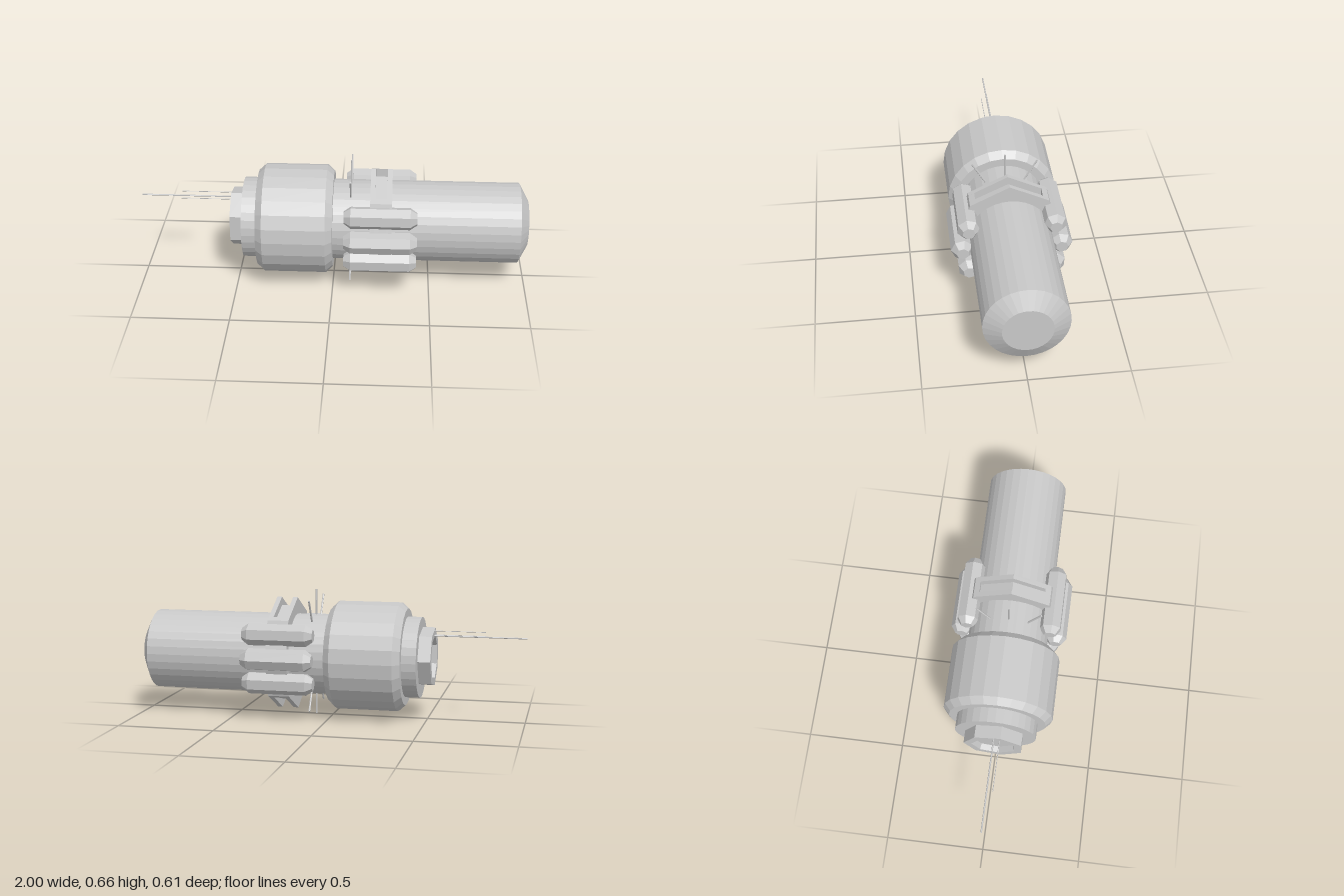
import * as THREE from 'three';

const AXIS_Y = 0.32;

export function createModel() {
  const model = new THREE.Group();
  const grey = new THREE.MeshStandardMaterial({ color: 0xc8c8c8 });
  grey.flatShading = true;

  const add = (name, geometry, x = 0, y = 0, z = 0) => {
    const mesh = new THREE.Mesh(geometry, grey);
    mesh.name = name;
    mesh.position.set(x, y, z);
    model.add(mesh);
    return mesh;
  };

  // Solid of revolution along x; profile is [radius, x] from rear to front
  const turned = (profile, sides, start = 0) => new THREE.LatheGeometry(
    profile.map(([r, x]) => new THREE.Vector2(r, x)), sides, start).rotateZ(-Math.PI / 2);

  // Main hull with chamfered nose; its rear end forms the neck
  add('hull', turned([[0, -0.465], [0.208, -0.465], [0.208, 0.953], [0.122, 1], [0, 1]], 32), 0, AXIS_Y);

  // Wide collar around the rear
  add('collar', turned([[0.2, -0.39], [0.25, -0.39], [0.282, -0.355], [0.282, -0.035],
    [0.25, 0], [0.2, 0]], 24), 0, AXIS_Y);

  // Seven-sided rear socket with a recess
  add('rearSocket', turned([[0, -0.5], [0.108, -0.5], [0.115, -0.53], [0.155, -0.53],
    [0.155, -0.46]], 7, Math.PI), 0, AXIS_Y + 0.002);

  // Trailing antennas
  for (const [tip, y, z, r] of [[-1, 0.435, 0, 0.004], [-0.79, 0.46, 0, 0.002], [-0.79, 0.435, 0.03, 0.002]]) {
    const length = -0.49 - tip;
    add('rearAntenna', new THREE.CylinderGeometry(r, r, length, 6).rotateZ(Math.PI / 2), tip + length / 2, y, z);
  }

  // Radial antennas: three rods passing through the hull
  for (const angle of [-Math.PI / 6, 0, Math.PI / 6]) {
    add('radialAntenna', new THREE.CylinderGeometry(0.005, 0.005, 0.66, 6), 0.09, 0.33, 0).rotation.x = angle;
  }

  // Clamp: angular flanges around a core with slots on top and bottom
  const plate = (quarter, x, depth) => {
    const mirror = (sz, sy) => quarter.map(([z, y]) => new THREE.Vector2(z * sz, y * sy));
    const points = [
      ...mirror(1, 1), ...mirror(1, -1).reverse(), ...mirror(-1, -1), ...mirror(-1, 1).reverse(),
    ].filter((p, i, all) => p.distanceTo(all[(i + 1) % all.length]) > 1e-4);
    const geometry = new THREE.ExtrudeGeometry(new THREE.Shape(points), { depth, bevelEnabled: false });
    return geometry.rotateY(Math.PI / 2).translate(x, AXIS_Y, 0);
  };
  const flange = [[0, 0.294], [0.197, 0.196], [0.26, 0]];
  const core = [[0, 0.25], [0.168, 0.17], [0.168, 0.21], [0.197, 0.196], [0.26, 0]];
  add('clampFlange', plate(flange, 0.19, 0.025));
  add('clampFlange', plate(flange, 0.275, 0.025));
  add('clampCore', plate(core, 0.215, 0.06));

  // Three seven-sided pods on each side
  for (const side of [1, -1]) {
    for (const [z, dy] of [[0.215, 0.125], [0.247, 0], [0.215, -0.125]]) {
      const outward = Math.atan2(-dy, z * side);
      add('sidePod', turned([[0, 0.058], [0.032, 0.058], [0.057, 0.093], [0.057, 0.393],
        [0.032, 0.428], [0, 0.428]], 7, outward), 0, AXIS_Y + dy, z * side);
    }
  }

  return model;
}
